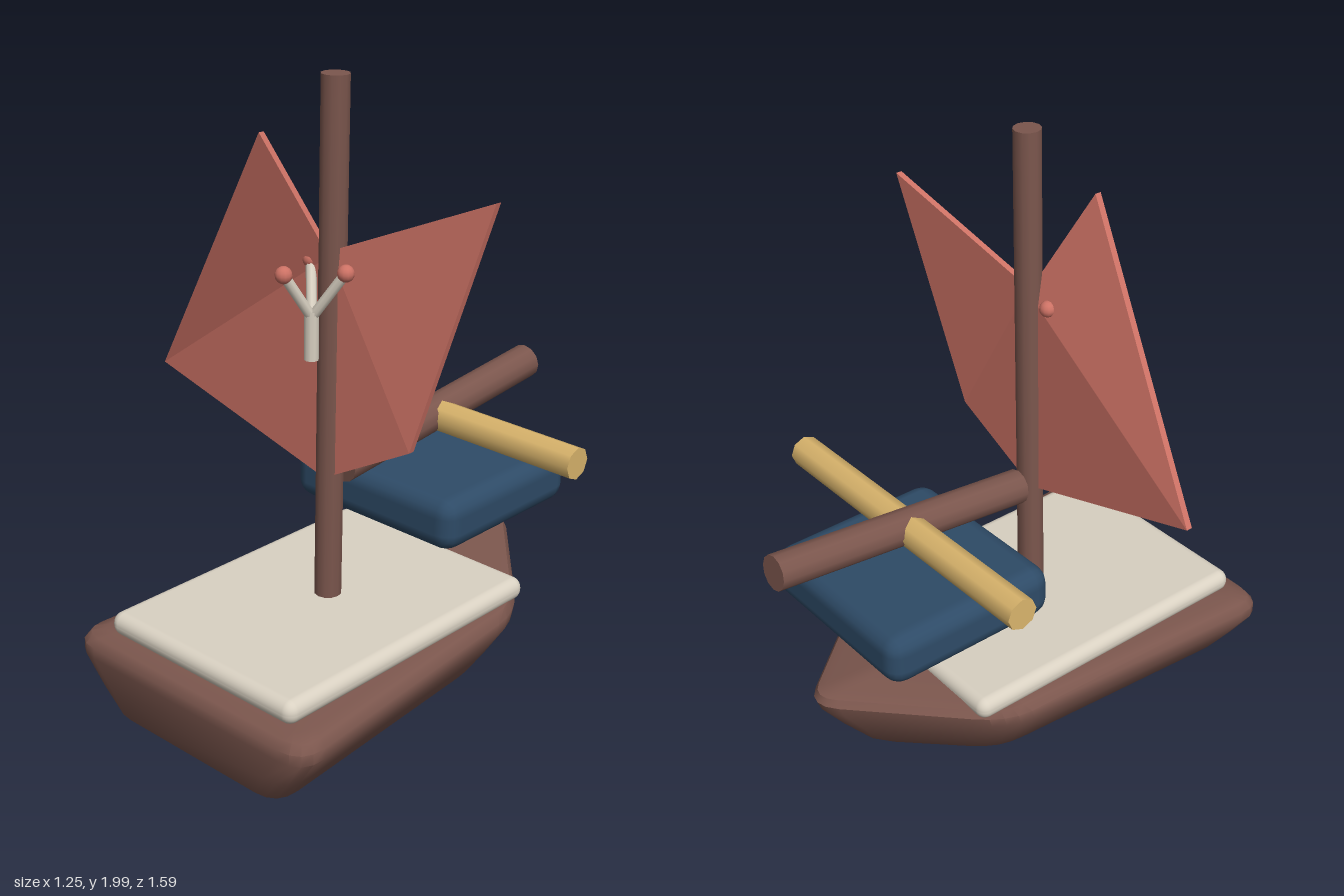
import * as THREE from 'three';
import { toCreasedNormals } from 'three/addons/utils/BufferGeometryUtils.js';
import { RoundedBoxGeometry } from 'three/addons/geometries/RoundedBoxGeometry.js';

const material = (name, color) => {
  const m = new THREE.MeshStandardMaterial({ color });
  m.name = name;
  return m;
};
const V = (x, y, z) => new THREE.Vector3(x, y, z);

function addMesh(parent, name, geometry, mat) {
  const mesh = new THREE.Mesh(geometry, mat);
  mesh.name = name;
  parent.add(mesh);
  return mesh;
}

// Round bar running from a to b
function addBar(parent, name, a, b, radius, sides, mat) {
  const mesh = addMesh(parent, name, new THREE.CylinderGeometry(radius, radius, a.distanceTo(b), sides), mat);
  mesh.position.copy(a).lerp(b, 0.5);
  mesh.quaternion.setFromUnitVectors(V(0, 1, 0), b.clone().sub(a).normalize());
  return mesh;
}

// Five-cornered plan of the hull with rounded corners
function hullOutline(sternHalf, shoulderHalf, sternZ, shoulderZ, bowZ, r) {
  const corners = [[-sternHalf, sternZ], [sternHalf, sternZ], [shoulderHalf, shoulderZ], [0, bowZ], [-shoulderHalf, shoulderZ]]
    .map(([x, z]) => new THREE.Vector2(x, z));
  return corners.flatMap((c, i) => {
    const toward = (k) => corners[(i + k) % 5].clone().sub(c).setLength(r).add(c);
    return new THREE.QuadraticBezierCurve(toward(4), c, toward(1)).getPoints(4);
  });
}

// Hull lofted upward through plan outlines, with the bow swept up
function hullGeometry() {
  // height, stern half width, shoulder half width, stern z, shoulder z, bow z, corner radius
  const layers = [
    [0.012, 0.29, 0.23, 0.69, -0.18, -0.46, 0.06],
    [0.022, 0.32, 0.26, 0.73, -0.19, -0.50, 0.08],
    [0.055, 0.36, 0.30, 0.765, -0.20, -0.55, 0.09],
    [0.14, 0.425, 0.355, 0.785, -0.225, -0.63, 0.1],
    [0.235, 0.49, 0.41, 0.80, -0.25, -0.705, 0.1],
    [0.27, 0.49, 0.41, 0.80, -0.26, -0.72, 0.1],
    [0.295, 0.47, 0.39, 0.78, -0.26, -0.70, 0.08],
    [0.305, 0.43, 0.35, 0.74, -0.25, -0.66, 0.06],
  ];
  const lift = (z) => 0.015 * (0.75 - z) + 0.08 * Math.max(0, -0.2 - z);
  const positions = [], index = [];
  let n = 0;
  for (const [y, ...plan] of layers) {
    const ring = hullOutline(...plan);
    n = ring.length;
    for (const p of ring) positions.push(p.x, y + lift(p.y), p.y);
  }
  const last = (layers.length - 1) * n, centre = layers.length * n;
  positions.push(0, layers[0][0] + lift(0.1), 0.1, 0, layers.at(-1)[0] + lift(0.1), 0.1);
  for (let i = 0; i < n; i++) {
    const j = (i + 1) % n;
    for (let k = 0; k < last; k += n) index.push(k + i, k + j, k + n + j, k + i, k + n + j, k + n + i);
    index.push(centre, j, i, centre + 1, last + i, last + j);
  }
  const g = new THREE.BufferGeometry();
  g.setAttribute('position', new THREE.Float32BufferAttribute(positions, 3));
  g.setIndex(index);
  return toCreasedNormals(g, 0.7);
}

// Thin four-cornered sail, folded along the diagonal from corner 0 to corner 2
function sailGeometry(corners) {
  const t = 0.01, positions = [];
  const front = corners.map((p) => [p.x, p.y, p.z + t]);
  const back = corners.map((p) => [p.x, p.y, p.z - t]);
  const tri = (...pts) => pts.forEach((p) => positions.push(...p));
  tri(front[0], front[1], front[2], front[0], front[2], front[3]);
  tri(back[0], back[2], back[1], back[0], back[3], back[2]);
  for (let i = 0; i < 4; i++) {
    const j = (i + 1) % 4;
    tri(front[i], back[i], back[j], front[i], back[j], front[j]);
  }
  const g = new THREE.BufferGeometry();
  g.setAttribute('position', new THREE.Float32BufferAttribute(positions, 3));
  g.computeVertexNormals();
  return g;
}

export function createModel() {
  const wood = material('brown wood', 0x7b564d);
  const cream = material('cream', 0xd9d1c2);
  const blue = material('navy blue', 0x2e4b67);
  const gold = material('pale gold', 0xd9b46c);
  const coral = material('coral red', 0xcd7265);

  const model = new THREE.Group();
  model.name = 'sailingBoat';

  // Boat body, heeling slightly to one side
  const boat = new THREE.Group();
  boat.name = 'boat';
  boat.rotation.z = -0.026;
  model.add(boat);
  const cx = 0.04;

  addMesh(boat, 'hull', hullGeometry(), wood).position.x = cx;
  addMesh(boat, 'deck', new RoundedBoxGeometry(0.77, 0.076, 1.07, 4, 0.036), cream).position.set(cx, 0.336, 0.205);
  addMesh(boat, 'cushion', new RoundedBoxGeometry(0.66, 0.175, 0.61, 2, 0.06), blue).position.set(cx, 0.627, -0.305);
  addBar(boat, 'mast', V(cx, 0.35, 0.18), V(cx, 2.0, 0.18), 0.043, 12, wood);
  addBar(boat, 'boom', V(cx, 0.79, 0.127), V(cx, 0.885, -0.787), 0.057, 12, wood);
  addBar(boat, 'crossbar', V(cx - 0.562, 0.832, -0.312), V(cx + 0.562, 0.832, -0.312), 0.052, 8, gold);

  // Sails either side of the mast
  addMesh(model, 'rightSail', sailGeometry([
    V(-0.63, 0.98, 0.21), V(0.05, 0.77, 0.19), V(0.08, 1.47, 0.19), V(-0.085, 1.825, 0.3),
  ]), coral);
  addMesh(model, 'leftSail', sailGeometry([
    V(0.38, 0.935, 0.175), V(0.605, 1.7, 0.09), V(0.08, 1.485, 0.19), V(0.06, 0.77, 0.19),
  ]), coral);

  // Three-pronged ornament with round tips
  const ornament = new THREE.Group();
  ornament.name = 'ornament';
  model.add(ornament);
  addBar(ornament, 'stem', V(0.07, 1.17, 0.265), V(0.073, 1.32, 0.265), 0.022, 10, cream);
  const fork = V(0.073, 1.3, 0.265);
  for (const tip of [V(0.055, 1.445, 0.36), V(0.175, 1.445, 0.23), V(0, 1.445, 0.19)]) {
    addBar(ornament, 'prong', fork, tip, 0.016, 8, cream);
    addMesh(ornament, 'prongTip', new THREE.SphereGeometry(0.026, 12, 8), coral).position.copy(tip);
  }
  return model;
}
